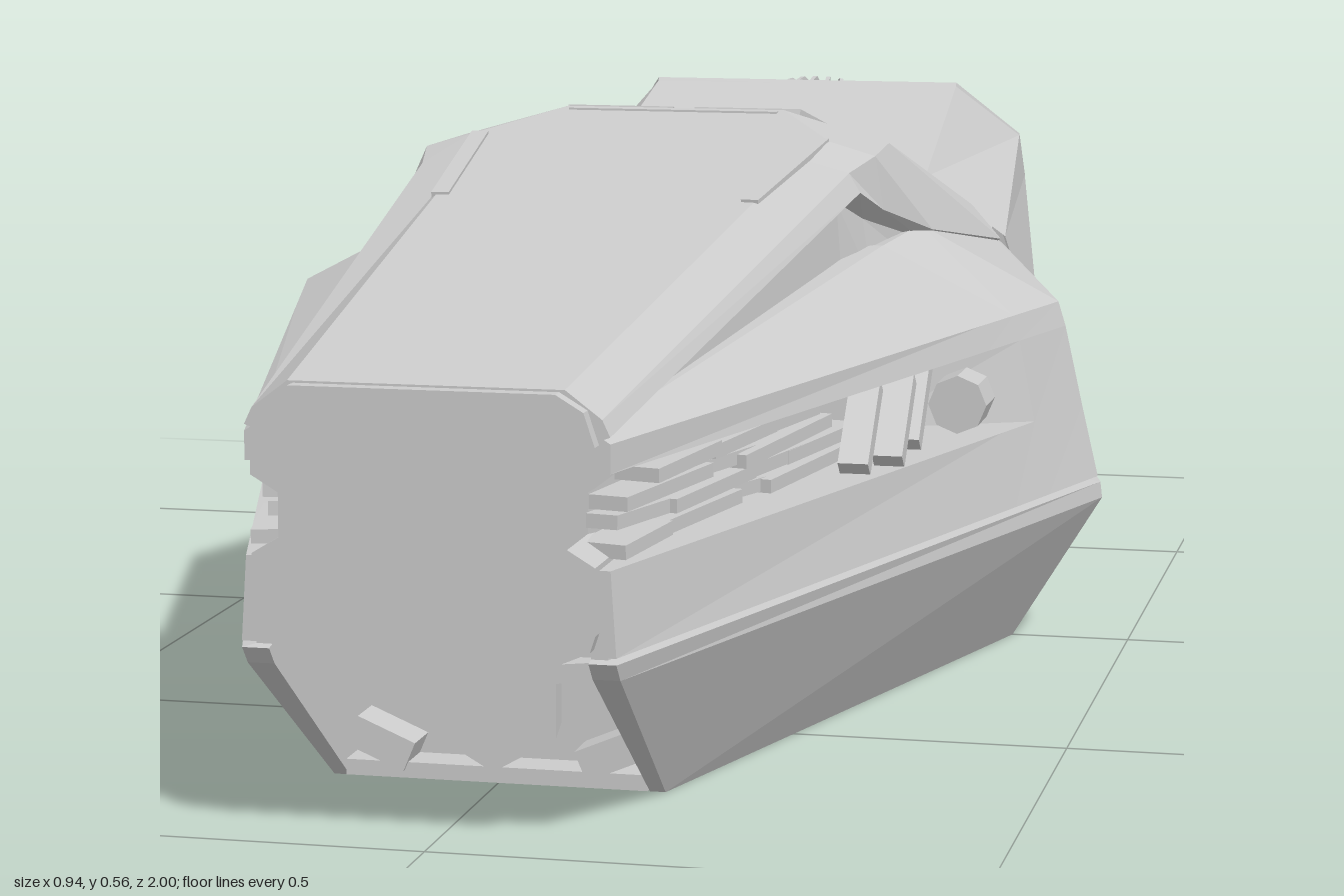
import * as THREE from 'three';

const mat = new THREE.MeshStandardMaterial({ color: 0xcccccc, flatShading: true, side: THREE.DoubleSide });

function add(parent, name, geometry, pos = [0, 0, 0], rot = [0, 0, 0]) {
  const m = new THREE.Mesh(geometry, mat);
  m.name = name;
  m.position.set(...pos);
  m.rotation.set(...rot);
  parent.add(m);
  return m;
}

// Closed loop from the +x half of a symmetric section
const mirror = half => [...half, ...half.slice().reverse().filter(p => p[0] !== 0).map(([x, y, z]) => [-x, y, z])];

// Faceted skin through half sections stacked along +y or -z, with end caps
function loft(halves, axis, capped = true) {
  const rings = halves.map(mirror), n = rings[0].length, out = [];
  for (let r = 0; r + 1 < rings.length; r++) {
    for (let i = 0; i < n; i++) {
      const j = (i + 1) % n, a = rings[r], b = rings[r + 1];
      out.push(...a[i], ...a[j], ...b[j], ...a[i], ...b[j], ...b[i]);
    }
  }
  const ahead = axis === 'y' ? new THREE.Vector3(0, 1, 0) : new THREE.Vector3(0, 0, -1);
  const cap = (ring, dir) => {
    const flat = ring.map(p => new THREE.Vector2(p[0], axis === 'y' ? p[2] : p[1]));
    for (const tri of THREE.ShapeUtils.triangulateShape(flat, [])) {
      const v = tri.map(i => new THREE.Vector3(...ring[i]));
      const normal = v[1].clone().sub(v[0]).cross(v[2].clone().sub(v[0]));
      if (normal.dot(dir) < 0) v.reverse();
      v.forEach(p => out.push(p.x, p.y, p.z));
    }
  };
  if (capped) {
    cap(rings[0], ahead.clone().negate());
    cap(rings[rings.length - 1], ahead);
  }
  const g = new THREE.BufferGeometry();
  g.setAttribute('position', new THREE.Float32BufferAttribute(out, 3));
  g.computeVertexNormals();
  return g;
}

const poly = pts => new THREE.Shape(pts.map(p => new THREE.Vector2(...p)));
const extrude = (shape, depth) => new THREE.ExtrudeGeometry(shape, { depth, bevelEnabled: false, curveSegments: 24 });
const deckY = z => (z > 0 ? 0.565 - 0.155 * z : 0.565 + 0.26 * z);

export function createModel() {
  const ship = new THREE.Group();
  ship.name = 'ship';

  // Lower hull with a bay cut into the bow
  const lower = (y, bow, xb, xm, xs, stern) => [
    [0.145, y, 0.72], [0.145, y, bow], [xb, y, bow], [xm, y, 0], [xs, y, stern]];
  add(ship, 'lowerHull', loft([
    lower(0, 0.75, 0.16, 0.375, 0.25, -0.6),
    lower(0.155, 0.97, 0.17, 0.47, 0.3, -0.7),
    lower(0.172, 0.985, 0.17, 0.468, 0.3, -0.7),
    lower(0.174, 0.975, 0.16, 0.455, 0.29, -0.68),
    lower(0.182, 0.975, 0.16, 0.455, 0.29, -0.68)], 'y'));

  // Middle hull with side recesses, rising to the shoulders
  const middle = (y, xa, xm, xs, stern, inset) => {
    const edge = z => xa + (xm - xa) * (1 - z / 0.985);
    return [
      [inset ? 0.12 : xa, y, 0.985], inset ? [0.25, y, 0.2] : [edge(0.2), y, 0.2],
      [edge(0.12), y, 0.12], [xm, y, 0], [xs, y, stern]];
  };
  add(ship, 'middleHull', loft([
    middle(0.178, 0.17, 0.465, 0.3, -0.7),
    middle(0.255, 0.165, 0.447, 0.294, -0.64),
    middle(0.255, 0.165, 0.447, 0.294, -0.64, true),
    middle(0.34, 0.165, 0.428, 0.288, -0.54, true),
    middle(0.34, 0.165, 0.428, 0.288, -0.54),
    middle(0.366, 0.165, 0.42, 0.285, -0.5),
    [[0.15, 0.376, 0.985], [0.24, 0.43, 0.2], [0.25, 0.436, 0.12], [0.27, 0.445, 0], [0.275, 0.375, -0.49]]], 'y'));

  // Upper hull with an overhanging lip above the shoulders
  const upper = (z, ...pts) => [[0, pts[0][1], z], ...pts.map(([x, y]) => [x, y, z])];
  add(ship, 'upperHull', loft([
    upper(0.985, [0.125, 0.412], [0.158, 0.387], [0.165, 0.372], [0.15, 0.366], [0.15, 0.33]),
    upper(0.2, [0.175, 0.534], [0.228, 0.52], [0.24, 0.5], [0.215, 0.49], [0.222, 0.4]),
    upper(0.13, [0.195, 0.545], [0.243, 0.531], [0.252, 0.475], [0.23, 0.465], [0.24, 0.4]),
    upper(0, [0.12, 0.565], [0.235, 0.532], [0.283, 0.44], [0.27, 0.43], [0.27, 0.4]),
    upper(-0.46, [0.2, 0.445], [0.255, 0.415], [0.29, 0.375], [0.28, 0.37], [0.28, 0.34])], '-z'));

  // Nose block with a notch in each side
  const side = [[0.115, 0.17], [0.15, 0.185], [0.155, 0.2], [0.155, 0.26], [0.13, 0.275], [0.13, 0.315],
    [0.155, 0.33], [0.155, 0.365], [0.145, 0.395], [0.12, 0.41]];
  const noseShape = poly([...side, ...side.slice().reverse().map(([x, y]) => [-x, y])]);
  add(ship, 'noseBlock', extrude(noseShape, 0.18), [0, 0, 0.82]);

  // Fittings inside the bow bay
  add(ship, 'bayFloor', new THREE.BoxGeometry(0.29, 0.015, 0.06), [0, 0.01, 0.73]);
  add(ship, 'bayNozzle', new THREE.CylinderGeometry(0.07, 0.06, 0.06, 6), [0, 0.085, 0.74], [Math.PI / 2, 0, 0]);
  for (const s of [-1, 1]) {
    add(ship, 'bayStrut', new THREE.BoxGeometry(0.09, 0.018, 0.05), [s * 0.1, 0.115, 0.745], [0, 0, s * 0.1]);
    add(ship, 'bayFoot', new THREE.BoxGeometry(0.06, 0.03, 0.05), [s * 0.11, 0.035, 0.74], [0, 0, s * 0.4]);
  }

  // Stern pod behind the seam
  add(ship, 'sternPod', loft([
    [[0.2, 0.447, -0.455], [0.29, 0.374, -0.495], [0.308, 0.2, -0.7], [0.252, 0, -0.595]],
    [[0.19, 0.53, -0.745], [0.255, 0.46, -0.85], [0.25, 0.4, -0.94], [0.2, 0.355, -1]]], '-z', false));

  // Engine, built in the plane of the slanted stern face
  const engine = new THREE.Group();
  engine.name = 'engine';
  const v = new THREE.Vector3(0, 0.566, 0.825).normalize();
  const left = new THREE.Vector3(-1, 0, 0);
  engine.quaternion.setFromRotationMatrix(new THREE.Matrix4().makeBasis(left, v, left.clone().cross(v)));
  engine.position.set(0, 0.443, -0.872);
  ship.add(engine);

  const rim = [[0.19, 0.155], [0.255, 0.028], [0.25, -0.08], [0.2, -0.155]];
  const outline = k => poly([...rim, ...rim.slice().reverse().map(([x, y]) => [-x, y])].map(([x, y]) => [x * k, y * k]));
  const circle = r => new THREE.Path().absarc(0, 0, r, 0, Math.PI * 2, true);
  const frame = outline(1);
  frame.holes.push(circle(0.14));
  const slots = [
    [[0.11, 0.14], [0.18, 0.142], [0.205, 0.093], [0.16, 0.088]],
    [[0.172, 0.07], [0.213, 0.074], [0.237, 0.025], [0.17, 0.02]],
    [[0.17, 0.002], [0.238, 0.006], [0.235, -0.07], [0.165, -0.06]],
    [[0.152, -0.08], [0.225, -0.09], [0.19, -0.142], [0.11, -0.14]]];
  for (const s of [-1, 1]) for (const q of slots) frame.holes.push(poly(q.map(([x, y]) => [x * s, y])));
  add(engine, 'engineFrame', extrude(frame, 0.012), [0, 0, -0.008]);
  const back = outline(0.93);
  back.holes.push(circle(0.137));
  add(engine, 'engineBackPlate', extrude(back, 0.004), [0, 0, -0.03]);
  const bowl = [[0.14, 0.002], [0.132, -0.018], [0.1, -0.045], [0.05, -0.062], [0, -0.062]];
  add(engine, 'engineBowl', new THREE.LatheGeometry(bowl.map(p => new THREE.Vector2(...p)), 40), [0, 0, 0], [Math.PI / 2, 0, 0]);
  add(engine, 'engineHub', new THREE.SphereGeometry(0.042, 16, 10), [0, 0, -0.045]);
  const blade = extrude(poly([[0.035, -0.055], [0.095, -0.044], [0.136, -0.008], [0.12, -0.012], [0.035, -0.035]]), 0.005);
  blade.rotateX(Math.PI / 2);
  for (let i = 0; i < 36; i++) {
    const a = i / 36 * Math.PI * 2;
    add(engine, 'engineBlade', blade, [0, 0, 0], [0, 0, a]).scale.z = -1;
  }

  // Rear deck hatches and their border, laid on the rear slope
  const hatch = new THREE.Group();
  hatch.name = 'rearHatch';
  hatch.position.set(0, 0.566, 0);
  hatch.rotation.x = -Math.PI / 2 - 0.255;
  ship.add(hatch);
  for (const s of [-1, 1]) {
    const flip = pts => poly(pts.map(([x, y]) => [x * s, y]));
    add(hatch, 'hatchPanel', extrude(flip([[0.02, 0.1], [0.09, 0.1], [0.12, 0.15], [0.135, 0.37], [0.02, 0.43]]), 0.005));
    const border = flip([[0.012, 0.04], [0.13, 0.04], [0.175, 0.39], [0.1, 0.455], [0.012, 0.455],
      [0.012, 0.445], [0.095, 0.445], [0.165, 0.385], [0.122, 0.05], [0.012, 0.05]]);
    add(hatch, 'hatchBorder', extrude(border, 0.007));
    add(hatch, 'hatchRib', new THREE.BoxGeometry(0.012, 0.34, 0.012), [s * 0.025, 0.27, 0.004]);
  }

  // Deck strips, ridge edge and side fittings
  add(ship, 'ridgeStrip', new THREE.BoxGeometry(0.23, 0.005, 0.01), [0, 0.562, 0.012]);
  let seed = 7;
  const rand = () => (seed = (seed * 16807) % 2147483647) / 2147483647;
  const detail = [];
  for (let i = 0; i < 14; i++) detail.push([0.93 - i * 0.033, 0.268 + (i % 4) * 0.018, 0.1 + rand() * 0.12, rand()]);
  for (const s of [-1, 1]) {
    add(ship, 'deckStrip', new THREE.BoxGeometry(0.018, 0.006, 0.25), [s * 0.172, deckY(0.25), 0.25], [0.155, s * -0.1, 0]);

    const bay = new THREE.Group();
    bay.name = s > 0 ? 'leftSideBay' : 'rightSideBay';
    bay.scale.x = s;
    ship.add(bay);
    // Stacked pipes and slats behind the nose
    for (const [z, y, len, r] of detail) {
      const x = 0.13 + (0.985 - z) * 0.19 + r * 0.02;
      add(bay, 'sideSlat', new THREE.BoxGeometry(0.045, 0.013, len), [x, y, z - 0.03], [(r - 0.5) * 0.12, -0.2, 0]);
    }
    // Slanted braces and drum in the deep end
    for (let i = 0; i < 5; i++) {
      add(bay, 'sideBrace', new THREE.BoxGeometry(0.03, 0.1, 0.02), [0.285 + i % 2 * 0.025, 0.297, 0.24 + i * 0.05], [-0.75, 0, 0]);
    }
    add(bay, 'sideDrum', new THREE.CylinderGeometry(0.03, 0.03, 0.06, 8), [0.35, 0.29, 0.215], [Math.PI / 2, 0, 0]);
    add(bay, 'sidePost', new THREE.BoxGeometry(0.02, 0.085, 0.05), [0.29, 0.297, 0.21]);
  }
  return ship;
}
